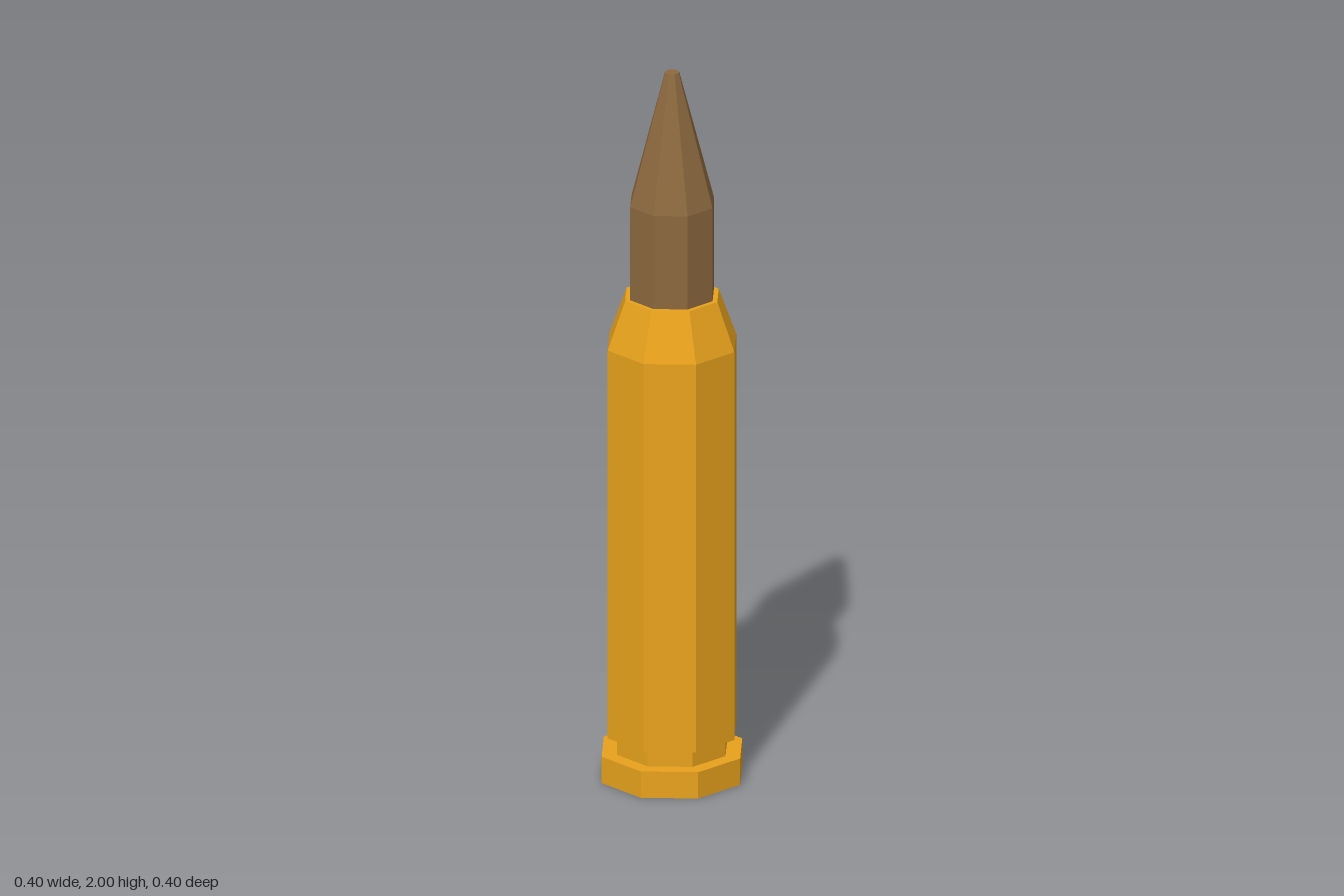
import * as THREE from 'three';

const SIDES = 8;

// Faceted solid of revolution from a [radius, height] profile, listed bottom to top
function turned(name, color, profile) {
  const points = profile.map(([r, y]) => new THREE.Vector2(r, y));
  const material = new THREE.MeshStandardMaterial({ color, flatShading: true });
  const mesh = new THREE.Mesh(new THREE.LatheGeometry(points, SIDES), material);
  mesh.name = name;
  return mesh;
}

export function createModel() {
  const group = new THREE.Group();
  group.name = 'cartridge';

  // Brass case: rim, extractor groove, body, shoulder and flat mouth
  group.add(turned('case', 0xe8a21c, [
    [0, 0], [0.2, 0], [0.2, 0.075],
    [0.157, 0.075], [0.157, 0.125],
    [0.183, 0.125], [0.183, 1.23],
    [0.133, 1.365], [0, 1.365],
  ]));

  // Bullet: straight shank, tapered nose and small flat tip
  group.add(turned('bullet', 0x8c693e, [
    [0.119, 1.365], [0.119, 1.63], [0.02, 2], [0, 2],
  ]));

  return group;
}
